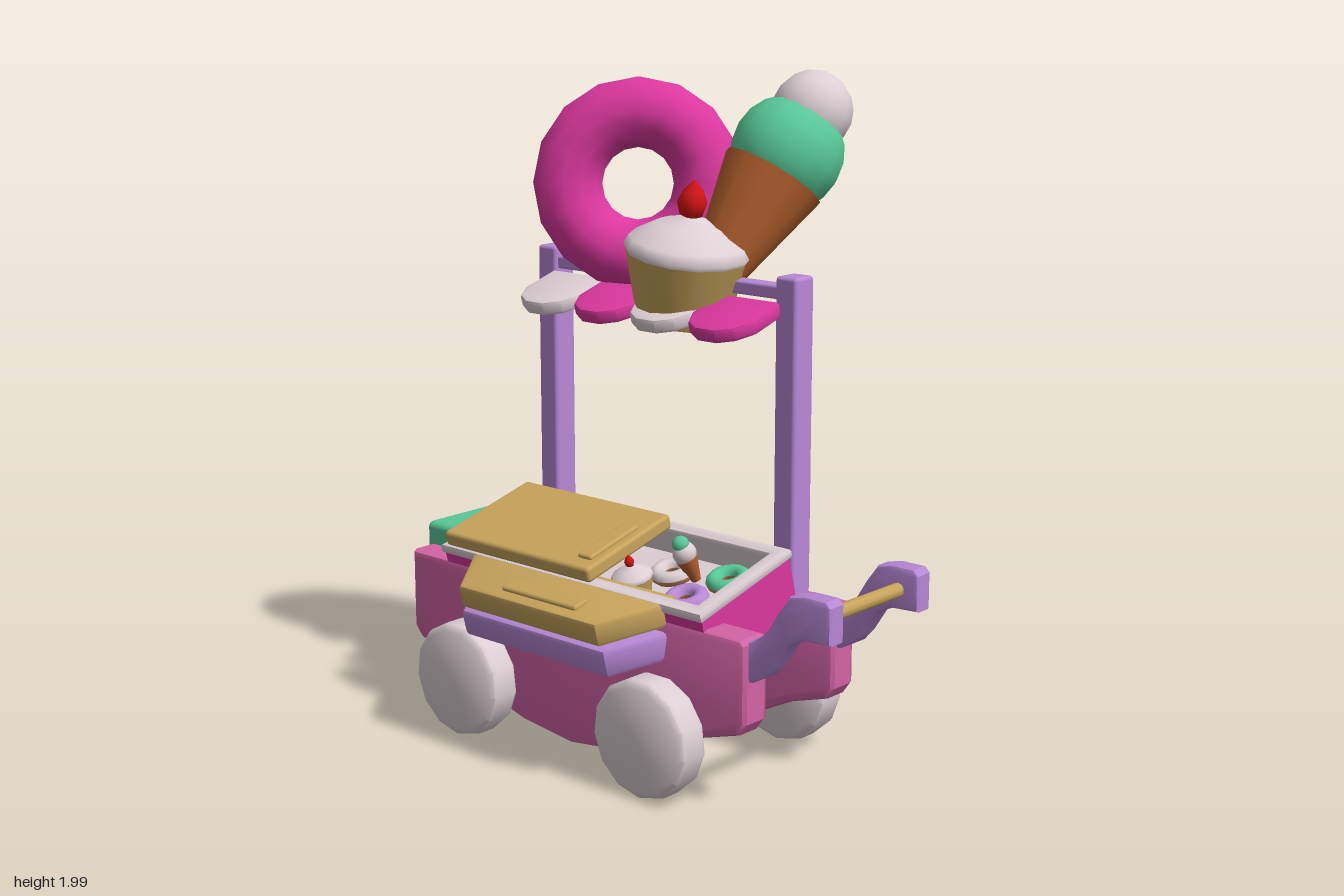
import * as THREE from 'three';
import { toCreasedNormals } from 'three/addons/utils/BufferGeometryUtils.js';
import { RoundedBoxGeometry } from 'three/addons/geometries/RoundedBoxGeometry.js';

const mat = (name, color) => new THREE.MeshStandardMaterial({ name, color });

export function createModel() {
  const M = {
    pink: mat('pink', 0xd464a6), magenta: mat('magenta', 0xdc389f), purple: mat('purple', 0xb888d6),
    tan: mat('tan', 0xc8a45c), mint: mat('mint', 0x58c898), cream: mat('cream', 0xddd0d5),
    cone: mat('cone brown', 0xb8622f), dough: mat('dough', 0xd08a5e), red: mat('red', 0xd81414),
  };
  const root = new THREE.Group();
  root.name = 'sweetsCart';

  const group = (name, parent, x = 0, y = 0, z = 0) => {
    const g = new THREE.Group();
    g.name = name;
    g.position.set(x, y, z);
    parent.add(g);
    return g;
  };
  const add = (name, geo, material, parent, x = 0, y = 0, z = 0) => {
    const m = new THREE.Mesh(geo, material);
    m.name = name;
    m.position.set(x, y, z);
    parent.add(m);
    return m;
  };
  const box = (name, w, h, d, r, material, parent, x, y, z) =>
    add(name, new RoundedBoxGeometry(w, h, d, 2, r), material, parent, x, y, z);
  const vecs = (pts) => pts.map(([x, y]) => new THREE.Vector2(x, y));
  const lathe = (pts, sides) => new THREE.LatheGeometry(vecs(pts), sides);

  // Bevelled slab from an outline, occupying z = 0..depth
  const slab = (pts, depth, b, hole) => {
    const shape = new THREE.Shape(vecs(pts));
    if (hole) shape.holes.push(new THREE.Path(vecs(hole)));
    const geo = new THREE.ExtrudeGeometry(shape, {
      depth: depth - 2 * b, bevelEnabled: b > 0, bevelThickness: b, bevelSize: b, bevelOffset: -b, bevelSegments: 2,
    });
    return toCreasedNormals(geo.translate(0, 0, b), 0.6);
  };
  // Same slab laid flat: outline in x/z, top at y = 0
  const flat = (...args) => slab(...args).rotateX(Math.PI / 2);
  const rect = (w, d) => [[-w / 2, -d / 2], [w / 2, -d / 2], [w / 2, d / 2], [-w / 2, d / 2]];

  // ---- Sweets, reused at large and small scale ----
  const doughnut = (parent, icing, x, y, z, scale) => {
    const g = group('doughnut', parent, x, y, z);
    g.scale.setScalar(scale);
    const half = (start) => lathe(Array.from({ length: 7 }, (_, i) => {
      const a = start + (i / 6) * Math.PI;
      return [0.213 + 0.105 * Math.cos(a), 0.105 * Math.sin(a)];
    }), 16).rotateX(Math.PI / 2);
    add('icing', half(0), icing, g);
    add('doughBase', half(Math.PI), M.dough, g);
    return g;
  };
  const cupcake = (parent, x, y, z, scale) => {
    const g = group('cupcake', parent, x, y, z);
    g.scale.setScalar(scale);
    add('cup', toCreasedNormals(lathe([[0, 0.17], [0.1, 0.15], [0.105, 0], [0.135, 0], [0.183, 0.2], [0, 0.2]], 14), 0.6), M.tan, g);
    add('frosting', lathe([[0.178, 0.19], [0.19, 0.21], [0.175, 0.24], [0.1, 0.285], [0, 0.315]], 14), M.cream, g);
    add('cherry', lathe([[0, 0.3], [0.035, 0.315], [0.046, 0.35], [0.032, 0.385], [0, 0.42]], 7), M.red, g);
    return g;
  };
  // Origin at the centre of the cone's rim
  const iceCream = (parent, lower, upper, x, y, z, scale, axis) => {
    const g = group('iceCream', parent, x, y, z);
    g.scale.setScalar(scale);
    g.quaternion.setFromUnitVectors(new THREE.Vector3(0, 1, 0), new THREE.Vector3(...axis).normalize());
    add('waferCone', new THREE.CylinderGeometry(0.16, 0.07, 0.37, 12), M.cone, g, 0, -0.185, 0);
    add('lowerScoop', new THREE.SphereGeometry(0.17, 14, 10), lower, g, 0, 0.08, 0);
    add('upperScoop', new THREE.SphereGeometry(0.122, 12, 9), upper, g, 0, 0.225, 0);
    return g;
  };

  // ---- Side panels with curved bellies, push arms ----
  const panel = [[-0.78, 0.515], [-0.78, 0.27], [-0.75, 0.235], [-0.62, 0.195], [-0.47, 0.125], [-0.3, 0.075],
    [-0.1, 0.05], [0.1, 0.075], [0.27, 0.125], [0.41, 0.195], [0.54, 0.235], [0.565, 0.27], [0.565, 0.5], [0.55, 0.515]];
  const arm = [[0.52, 0.39], [0.57, 0.39], [0.625, 0.42], [0.66, 0.46], [0.705, 0.53], [0.75, 0.55], [0.84, 0.555],
    [0.84, 0.66], [0.825, 0.677], [0.75, 0.677], [0.7, 0.665], [0.66, 0.61], [0.62, 0.545], [0.57, 0.51], [0.52, 0.5]];
  for (const z of [0.285, -0.108]) {
    add('sidePanel', slab(panel, 0.112, 0.02), M.pink, root, 0, 0, z - 0.056);
    add('pushArm', slab(arm, 0.066, 0.012), M.purple, root, 0, 0, z - 0.035);
  }
  add('pushBar', new THREE.CylinderGeometry(0.021, 0.021, 0.38, 10).rotateX(Math.PI / 2), M.tan, root, 0.775, 0.61, 0.088);

  // ---- Wheels ----
  const wheelGeo = toCreasedNormals(lathe([[0, -0.055], [0.155, -0.055], [0.172, -0.043], [0.176, -0.03],
    [0.176, 0.03], [0.172, 0.043], [0.155, 0.055], [0, 0.055]], 13).rotateX(Math.PI / 2), 0.7);
  for (const x of [-0.482, 0.268]) for (const z of [0.395, -0.222]) add('wheel', wheelGeo, M.cream, root, x, 0.185, z);

  box('coolBox', 0.23, 0.305, 0.27, 0.02, M.mint, root, -0.73, 0.42, 0.085);

  // ---- Tilted display case ----
  const display = group('displayCase', root, -0.1, 0.618, 0.16);
  display.rotation.x = 0.255;
  add('caseWalls', flat(rect(1.04, 0.395), 0.17, 0, rect(0.98, 0.34)), M.magenta, display, 0, -0.025, 0);
  add('caseBottom', new THREE.BoxGeometry(1.04, 0.1, 0.395), M.magenta, display, 0, -0.145, 0);
  add('caseRim', flat(rect(1.05, 0.41), 0.03, 0.008, rect(0.96, 0.32)), M.cream, display);
  add('caseLining', flat(rect(0.98, 0.34), 0.07, 0, rect(0.96, 0.32)), M.cream, display, 0, -0.02, 0);
  add('caseFloor', new THREE.BoxGeometry(0.97, 0.01, 0.33), M.cream, display, 0, -0.09, 0);
  box('lid', 0.605, 0.048, 0.37, 0.012, M.tan, display, -0.198, 0.024, 0.018);
  box('lidGrip', 0.055, 0.018, 0.21, 0.008, M.tan, display, 0.05, 0.051, 0.05);

  const trayDoughnuts = [[M.mint, 0.39, -0.07], [M.purple, 0.345, 0.07], [M.cream, 0.2, -0.04]];
  for (const [icing, x, z] of trayDoughnuts) doughnut(display, icing, x, -0.062, z, 0.215).rotation.x = -Math.PI / 2;
  cupcake(display, 0.165, -0.086, 0.09, 0.33);
  iceCream(display, M.cream, M.mint, 0.262, -0.005, -0.045, 0.21, [-0.15, 1, 0.15]);

  // ---- Fold-out serving shelf ----
  const shelf = group('servingShelf', root, -0.1, 0.567, 0.345);
  shelf.rotation.x = 0.255;
  const tier = (s) => [[-0.38 - s, -0.05], [0.38 + s, -0.05], [0.38 + s, 0.015], [0.275 + s, 0.178], [-0.275 - s, 0.178], [-0.38 - s, 0.015]];
  add('shelfTop', flat(tier(0), 0.075, 0.012), M.tan, shelf);
  add('shelfBase', flat(tier(0.012), 0.088, 0.015), M.purple, shelf, 0, -0.085, 0);
  box('shelfGrip', 0.3, 0.02, 0.055, 0.009, M.tan, shelf, 0.02, 0.002, 0.115);

  // ---- Posts, crossbar and scalloped awning ----
  for (const x of [-0.583, 0.368]) box('post', 0.077, 1.04, 0.085, 0.012, M.purple, root, x, 0.925, -0.113);
  box('crossbar', 0.9, 0.04, 0.06, 0.008, M.purple, root, -0.108, 1.395, -0.113);
  const awning = group('awning', root, 0, 1.372, -0.08);
  awning.rotation.x = 0.3;
  const scallop = [[-0.115, 0], [0.115, 0], [0.115, 0.13], [0.085, 0.185], [0.035, 0.215], [-0.035, 0.215], [-0.085, 0.185], [-0.115, 0.13]];
  for (let i = 0; i < 4; i++)
    add('awningScallop', flat(scallop, 0.045, 0.01), i % 2 ? M.magenta : M.cream, awning, -0.445 + i * 0.226, 0, 0);

  // ---- Large sweets on top ----
  const bigDoughnut = doughnut(root, M.magenta, -0.255, 1.657, -0.135, 1);
  bigDoughnut.rotation.set(-0.12, 0.64, 0, 'YXZ');
  const bigCupcake = cupcake(root, -0.015, 1.285, -0.06, 1);
  bigCupcake.rotation.set(0.04, 0, -0.16);
  iceCream(root, M.mint, M.cream, 0.145, 1.695, -0.285, 1, [0.21, 0.82, -0.53]);

  return root;
}
